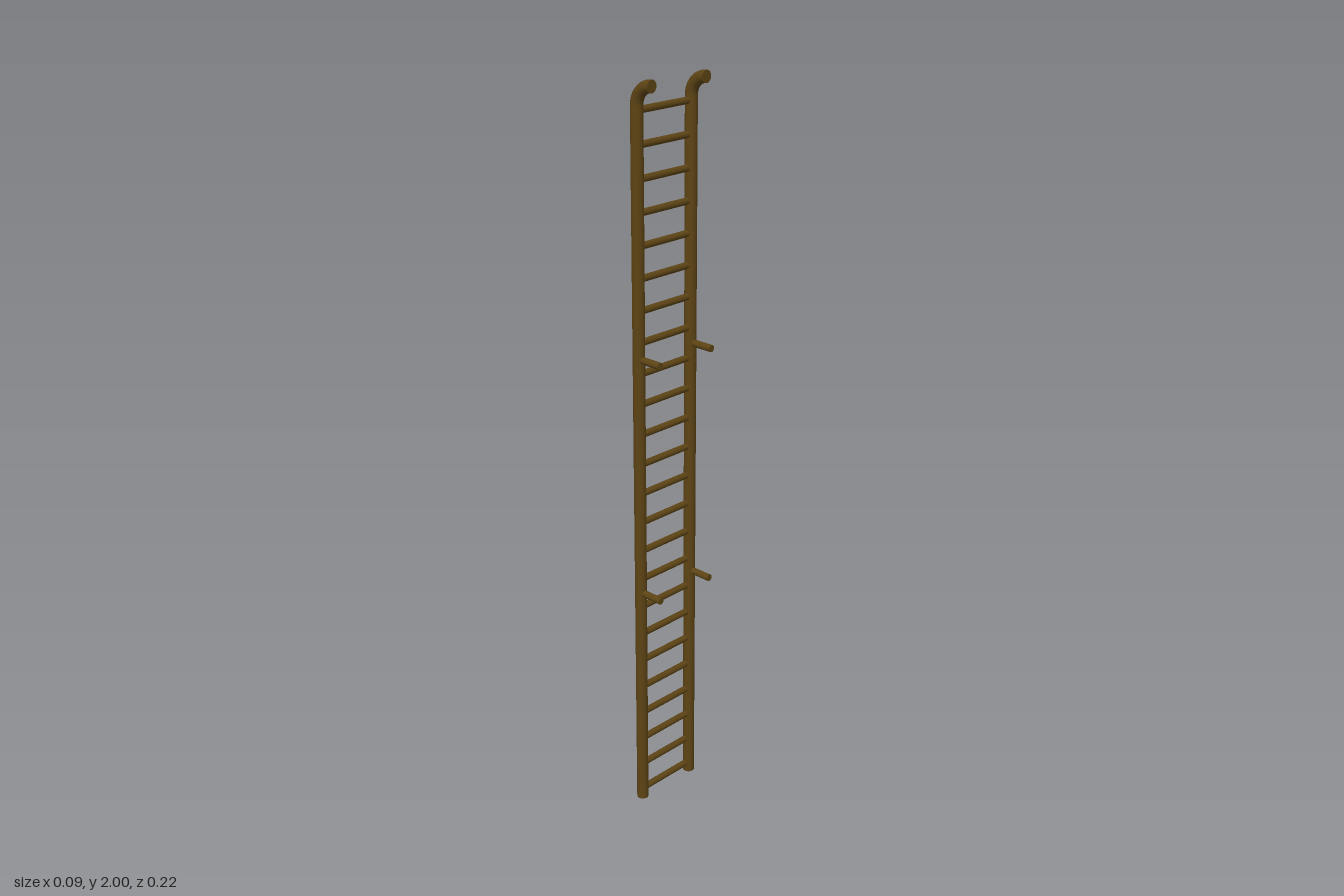
import * as THREE from 'three';

const RAIL_X = -0.0295, RAIL_Z = 0.093, RAIL_R = 0.016;
const BEND_R = 0.05, BEND_Y = 2 - RAIL_R - BEND_R;
const SIDES = 20;

export function createModel() {
  const group = new THREE.Group();
  const material = new THREE.MeshStandardMaterial({ color: 0x5c4314 });

  function add(parent, name, geometry, x, y, z) {
    const mesh = new THREE.Mesh(geometry, material);
    mesh.name = name;
    mesh.position.set(x, y, z);
    parent.add(mesh);
    return mesh;
  }

  // Shared geometries: upright, quarter bend at the top, bend end cap, wall bracket, rung
  const upright = new THREE.CylinderGeometry(RAIL_R, RAIL_R, BEND_Y, SIDES);
  const bend = new THREE.TorusGeometry(BEND_R, RAIL_R, SIDES, 12, Math.PI / 2);
  bend.rotateZ(Math.PI / 2);
  const cap = new THREE.CircleGeometry(RAIL_R, SIDES).rotateY(Math.PI / 2);
  const bracketLength = 0.0455 - RAIL_X;
  const bracket = new THREE.CylinderGeometry(0.0095, 0.0095, bracketLength, 16).rotateZ(Math.PI / 2);
  const rung = new THREE.CylinderGeometry(0.009, 0.009, RAIL_Z * 2, 16).rotateX(Math.PI / 2);

  // Side rails, each with a hooked top and two wall brackets
  for (const [side, z] of [['front', RAIL_Z], ['back', -RAIL_Z]]) {
    const rail = new THREE.Group();
    rail.name = side + 'Rail';
    add(rail, 'upright', upright, RAIL_X, BEND_Y / 2, z);
    add(rail, 'topBend', bend, RAIL_X + BEND_R, BEND_Y, z);
    add(rail, 'bendCap', cap, RAIL_X + BEND_R, BEND_Y + BEND_R, z);
    for (const y of [0.648, 1.304]) {
      add(rail, 'wallBracket', bracket, RAIL_X + bracketLength / 2, y, z);
    }
    group.add(rail);
  }

  // Evenly spaced rungs
  const count = 24, first = 0.026, last = 1.923;
  for (let i = 0; i < count; i++) {
    add(group, 'rung', rung, RAIL_X, first + ((last - first) * i) / (count - 1), 0);
  }

  return group;
}
